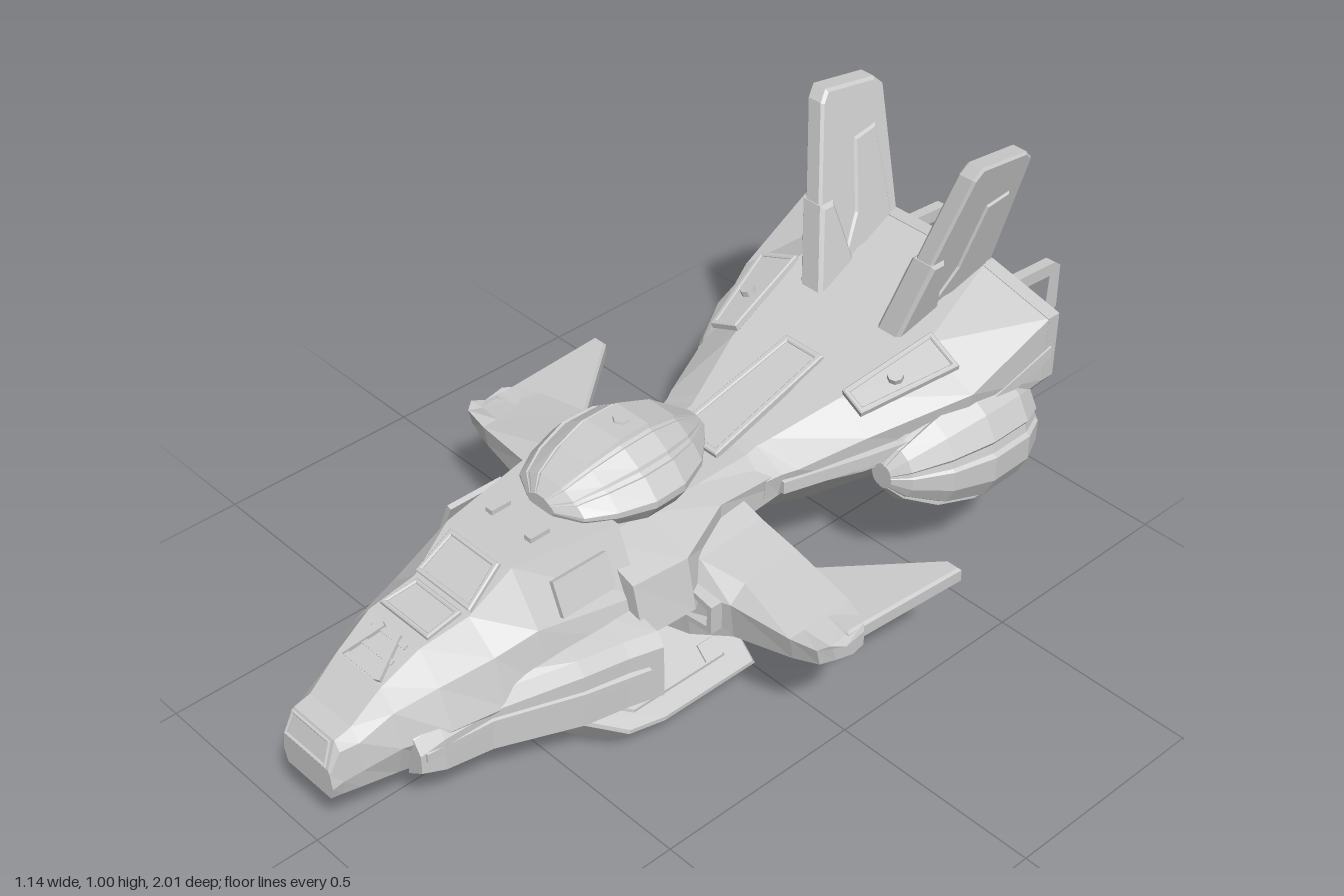
import * as THREE from 'three';

const mat = new THREE.MeshStandardMaterial({ color: 0xcccccc, flatShading: true });

// Skin a list of rings (each clockwise when looking along the loft) and cap both ends
function loft(rings) {
  const out = [], n = rings[0].length;
  const tri = (...p) => p.forEach(v => out.push(v[0], v[1], v[2]));
  for (let i = 0; i + 1 < rings.length; i++) {
    for (let j = 0; j < n; j++) {
      const k = (j + 1) % n, a = rings[i], b = rings[i + 1];
      tri(a[j], a[k], b[k]);
      tri(a[j], b[k], b[j]);
    }
  }
  const centre = r => [0, 1, 2].map(c => r.reduce((s, p) => s + p[c], 0) / n);
  const first = rings[0], last = rings[rings.length - 1];
  const c0 = centre(first), c1 = centre(last);
  for (let j = 0; j < n; j++) {
    const k = (j + 1) % n;
    tri(c0, first[k], first[j]);
    tri(c1, last[j], last[k]);
  }
  const g = new THREE.BufferGeometry();
  g.setAttribute('position', new THREE.Float32BufferAttribute(out, 3));
  g.computeVertexNormals();
  return g;
}

// Symmetric hull: each section is [z, half outline from top to bottom]
const bothSides = half => [...half, ...half.slice().reverse().map(([x, y]) => [-x, y])];
const hull = sections => loft(sections.map(([z, half]) => bothSides(half).map(([x, y]) => [x, y, z])));

// Streamlined pod with raised lengthwise plates; profile is [z, radius] from front to back
function ribbedPod(profile, rx, ry, plates) {
  const step = Math.PI * 2 / plates;
  return loft(profile.map(([z, r]) => {
    const ring = [];
    for (let i = 0; i < plates; i++) {
      for (const [f, s] of [[-0.43, 0.93], [-0.38, 1], [0, 1.02], [0.38, 1], [0.43, 0.93]]) {
        const a = (i + f) * step;
        ring.push([Math.sin(a) * rx * r * s, Math.cos(a) * ry * r * s, z]);
      }
    }
    return ring;
  }));
}

const outline = pts => pts.map(p => new THREE.Vector2(...p));

function extrude(pts, depth, hole, bevel = 0) {
  const shape = new THREE.Shape(outline(pts));
  if (hole) shape.holes.push(new THREE.Path(outline(hole)));
  const g = new THREE.ExtrudeGeometry(shape, {
    depth: depth - bevel * 2, bevelEnabled: bevel > 0, bevelSegments: 1,
    bevelSize: bevel, bevelThickness: bevel, bevelOffset: -bevel,
  });
  return g.translate(0, 0, -depth / 2 + bevel);
}

// Outline given as [z, y], thickness along x
const sidePlate = (pts, t, hole, bevel) => extrude(pts, t, hole, bevel).rotateY(-Math.PI / 2);

// Bordered hatch lying flat, narrower (w1) at one end; frame stands above the pane
const trapezoid = (w0, w1, d) => [[-w0, -d], [w0, -d], [w1, d], [-w1, d]];
function hatch(w0, w1, d, b) {
  return [extrude(trapezoid(w0, w1, d), 0.02, trapezoid(w0 - b, w1 - b, d - b), 0.003),
    extrude(trapezoid(w0 - b * 0.9, w1 - b * 0.9, d - b * 0.9), 0.01)]
    .map(g => g.rotateX(-Math.PI / 2));
}

function mirrored(geometry) {
  const g = geometry.index ? geometry.toNonIndexed() : geometry.clone();
  g.scale(-1, 1, 1);
  const p = g.attributes.position, a = new THREE.Vector3(), b = new THREE.Vector3();
  for (let i = 0; i < p.count; i += 3) {
    a.fromBufferAttribute(p, i + 1);
    b.fromBufferAttribute(p, i + 2);
    p.setXYZ(i + 1, b.x, b.y, b.z);
    p.setXYZ(i + 2, a.x, a.y, a.z);
  }
  g.computeVertexNormals();
  return g;
}

export function createModel() {
  const model = new THREE.Group();
  model.name = 'spacecraft';
  const add = (name, g) => {
    const m = new THREE.Mesh(g, mat);
    m.name = name;
    model.add(m);
  };
  const pair = (name, g) => {
    add('left' + name, g);
    add('right' + name, mirrored(g));
  };
  const box = (w, h, d, x, y, z, rx = 0, rz = 0) =>
    new THREE.BoxGeometry(w, h, d).rotateX(rx).rotateZ(rz).translate(x, y, z);

  // Cabin and nose
  add('cabin', hull([
    [1.0, [[0.07, 0.245], [0.075, 0.235], [0.08, 0.2], [0.07, 0.17]]],
    [0.975, [[0.065, 0.305], [0.08, 0.285], [0.085, 0.21], [0.075, 0.17]]],
    [0.935, [[0.065, 0.315], [0.09, 0.29], [0.095, 0.22], [0.085, 0.17]]],
    [0.86, [[0.07, 0.375], [0.105, 0.33], [0.125, 0.25], [0.1, 0.168]]],
    [0.77, [[0.08, 0.425], [0.135, 0.36], [0.17, 0.27], [0.11, 0.155]]],
    [0.65, [[0.085, 0.44], [0.16, 0.38], [0.19, 0.27], [0.12, 0.13]]],
    [0.55, [[0.1, 0.515], [0.175, 0.4], [0.2, 0.27], [0.13, 0.13]]],
    [0.31, [[0.145, 0.52], [0.205, 0.37], [0.23, 0.27], [0.17, 0.15]]],
  ]));
  // Armoured cheeks flaring backwards
  pair('Cheek', loft([
    [0.84, 0.11, 0.155, 0.265, 0.19], [0.79, 0.11, 0.17, 0.29, 0.18], [0.68, 0.12, 0.18, 0.3, 0.17],
    [0.5, 0.15, 0.25, 0.325, 0.165], [0.4, 0.17, 0.275, 0.33, 0.17], [0.33, 0.18, 0.3, 0.335, 0.175],
  ].map(([z, xi, xo, t, b]) => [
    [xi, t + 0.02, z], [xo - 0.02, t, z], [xo, t - 0.03, z], [xo, b, z], [xi, b - 0.03, z]])));
  pair('CheekRail', loft([[0.83, 0.163, 0.25], [0.68, 0.187, 0.26], [0.5, 0.257, 0.265], [0.36, 0.297, 0.27]]
    .map(([z, x, y]) => [[x - 0.03, y, z], [x, y - 0.01, z], [x, y - 0.03, z], [x - 0.03, y - 0.04, z]])));
  hatch(0.085, 0.075, 0.055, 0.012).forEach(g => add('windshield', g.rotateX(0.64).translate(0, 0.479, 0.6)));
  hatch(0.075, 0.07, 0.045, 0.01).forEach(g => add('foreWindow', g.rotateX(0.13).translate(0, 0.434, 0.7)));
  hatch(0.068, 0.062, 0.03, 0.008).forEach(g => add('nosePanel', g.rotateX(1.18).translate(0, 0.276, 0.986)));
  // Nose grille: cross bars between slanted braces
  for (const z of [0.78, 0.815, 0.85]) add('grilleBar', box(0.11, 0.015, 0.012, 0, 0.421 - (z - 0.77) * 0.55, z, 0.5));
  pair('GrilleBrace', box(0.014, 0.016, 0.1, 0, 0, 0).rotateY(0.35).rotateX(0.5).translate(0.04, 0.402, 0.815));
  pair('SideWindow', box(0.012, 0.08, 0.14, 0.174, 0.45, 0.43, 0, 0.39));
  pair('RoofVent', box(0.02, 0.016, 0.05, 0.06, 0.52, 0.45));

  // Neck joining cabin to the rear body
  add('neck', hull([
    [0.34, [[0.1, 0.46], [0.22, 0.42], [0.25, 0.3], [0.12, 0.19]]],
    [0.2, [[0.1, 0.46], [0.23, 0.42], [0.255, 0.3], [0.12, 0.2]]],
    [0.05, [[0.1, 0.455], [0.17, 0.44], [0.17, 0.36], [0.08, 0.28]]],
    [-0.2, [[0.1, 0.46], [0.17, 0.43], [0.16, 0.37], [0.08, 0.35]]],
  ]));
  add('bellySpine', box(0.07, 0.06, 0.42, 0, 0.19, 0.26));

  // Plated dome on top of the neck: one cross-section scaled along z
  const domeSection = [[0.3, 1], [0.32, 0.9], [0.37, 0.86], [0.4, 0.88], [0.66, 0.62], [0.68, 0.54],
    [0.74, 0.48], [0.78, 0.5], [1, 0.08], [1, -0.12], [0.82, -0.65], [0.3, -0.9]];
  add('dome', hull([[0.39, 0.26, 0.2], [0.36, 0.62, 0.45], [0.3, 0.84, 0.75], [0.22, 1, 0.98], [0.14, 0.98, 1],
    [0.06, 0.76, 0.75], [0, 0.42, 0.35], [-0.03, 0.22, 0.15]].map(([z, w, h]) =>
    [z, domeSection.map(([x, y]) => [x * w * 0.162, 0.53 + y * h * (y > 0 ? 0.1 : 0.08)])])));
  add('domeSensor', new THREE.CylinderGeometry(0.018, 0.024, 0.02, 6).translate(0, 0.624, 0.17));

  // Rear body with a raised rim around the stern
  const stern = [[0.17, 0.68], [0.362, 0.633], [0.36, 0.47], [0.17, 0.22]];
  add('rearBody', hull([
    [-0.08, [[0.1, 0.455], [0.17, 0.43], [0.165, 0.38], [0.06, 0.35]]],
    [-0.12, [[0.1, 0.465], [0.18, 0.435], [0.17, 0.38], [0.05, 0.345]]],
    [-0.15, [[0.11, 0.475], [0.195, 0.44], [0.18, 0.38], [0.04, 0.24]]],
    [-0.3, [[0.16, 0.53], [0.25, 0.475], [0.24, 0.38], [0.1, 0.235]]],
    [-0.52, [[0.21, 0.595], [0.345, 0.53], [0.32, 0.4], [0.15, 0.23]]],
    [-0.74, stern],
  ]));
  const rim = bothSides(stern);
  add('sternRim', extrude(rim, 0.035, rim.map(([x, y]) => [x * 0.88, 0.45 + (y - 0.45) * 0.88]))
    .translate(0, 0, -0.752));
  hatch(0.065, 0.055, 0.17, 0.014).forEach(g => add('spineHatch', g.rotateX(0.27).translate(0, 0.505, -0.2)));
  hatch(0.035, 0.052, 0.12, 0.012).forEach(g =>
    pair('ShoulderHatch', g.rotateY(-0.17).rotateX(0.3).rotateZ(-0.24).translate(0.222, 0.562, -0.42)));
  pair('HatchBolt', new THREE.CylinderGeometry(0.018, 0.018, 0.03, 8).rotateX(0.3).rotateZ(-0.24)
    .translate(0.222, 0.564, -0.41));
  pair('SideRail', loft([[-0.12, 0.185, 0.4], [-0.3, 0.26, 0.42], [-0.52, 0.345, 0.45], [-0.75, 0.366, 0.54]]
    .map(([z, x, y]) => [[x - 0.06, y + 0.025, z], [x, y + 0.015, z], [x, y - 0.015, z], [x - 0.06, y - 0.025, z]])));

  // Engine at the stern
  const octagon = (r0, r1, d, z) => new THREE.CylinderGeometry(r0, r1, d, 8)
    .rotateY(Math.PI / 8).rotateX(Math.PI / 2).translate(0, 0.455, z);
  add('engine', octagon(0.155, 0.145, 0.1, -0.78));
  pair('SternHandle', sidePlate(
    [[-0.74, 0.44], [-0.98, 0.435], [-1, 0.455], [-1, 0.565], [-0.98, 0.58], [-0.83, 0.59], [-0.74, 0.6]], 0.026,
    [[-0.82, 0.475], [-0.96, 0.47], [-0.965, 0.55], [-0.82, 0.56]]).translate(0.165, 0, 0));
  pair('HandleMount', box(0.045, 0.13, 0.08, 0.17, 0.515, -0.78));

  // Plated pods on the flanks
  pair('FlankPod', ribbedPod([[0.21, 0.2], [0.18, 0.45], [0.1, 0.8], [0, 1], [-0.11, 0.98], [-0.17, 0.78],
    [-0.21, 0.42]], 0.142, 0.155, 6).rotateZ(0.25).translate(0.27, 0.372, -0.54));

  // Tail fins leaning outwards
  const lean = (g, x) => {
    const p = g.attributes.position;
    for (let i = 0; i < p.count; i++) p.setX(i, p.getX(i) + x + (p.getY(i) - 0.58) * 0.26);
    return g;
  };
  pair('TailFin', lean(sidePlate(
    [[-0.49, 0.56], [-0.595, 0.98], [-0.615, 1.005], [-0.76, 0.985], [-0.785, 0.96], [-0.765, 0.56]],
    0.048, null, 0.006), 0.115));
  pair('FinFoot', lean(sidePlate(
    [[-0.485, 0.55], [-0.54, 0.77], [-0.58, 0.77], [-0.61, 0.63], [-0.76, 0.65], [-0.76, 0.55]],
    0.066, null, 0.008), 0.115));
  pair('FinPanel', lean(sidePlate(
    [[-0.59, 0.64], [-0.64, 0.72], [-0.67, 0.88], [-0.74, 0.89], [-0.75, 0.64]], 0.058, null, 0.006), 0.115));

  // Wings: thick root, slim tip, swept blade; rows are [x, front, back, top, underside, underside depth]
  pair('Wing', loft([
    [0.14, 0.205, -0.02, 0.42, 0.17, 0.13], [0.22, 0.195, -0.02, 0.395, 0.185, 0.12],
    [0.32, 0.165, -0.02, 0.375, 0.225, 0.09], [0.48, 0.155, -0.01, 0.348, 0.265, 0.08],
    [0.545, 0.145, 0.01, 0.34, 0.285, 0.07], [0.565, 0.12, 0.03, 0.338, 0.295, 0.06],
  ].map(([x, f, b, t, u, d]) => [
    [x, t - 0.01, f - 0.04], [x, (t + u) / 2 + 0.03, f], [x, u + 0.015, f - 0.01],
    [x, u, f - d], [x, t - 0.035, b], [x, t, b]])));
  pair('WingBlade', extrude([[0.31, -0.06], [0.55, -0.06], [0.57, 0.255], [0.532, 0.255], [0.34, 0.015]],
    0.04, null, 0.006).rotateX(-Math.PI / 2).translate(0, 0.322, 0));
  pair('WingRootFrame', extrude([[0.2, 0.25], [0.3, 0.26], [0.3, 0.33], [0.2, 0.35]], 0.03,
    [[0.215, 0.265], [0.287, 0.273], [0.287, 0.318], [0.215, 0.333]]).translate(0, 0, 0.185));

  // Splayed lower weapon pods
  const splay = g => g.rotateZ(Math.PI / 4).translate(0.07, 0.2, 0);
  pair('LowerPod', splay(sidePlate(
    [[0.54, 0.02], [0.55, -0.07], [0.52, -0.12], [0.39, -0.222], [0.3, -0.238], [0.04, -0.238], [0.04, 0.02]],
    0.102, null, 0.007)));
  pair('LowerPodPanel', splay(sidePlate(
    [[0.47, -0.06], [0.47, -0.11], [0.36, -0.19], [0.1, -0.19], [0.1, -0.06]], 0.112, null, 0.006)));
  pair('LowerPodLatch', splay(box(0.122, 0.04, 0.05, 0, -0.16, 0.13)));
  return model;
}
